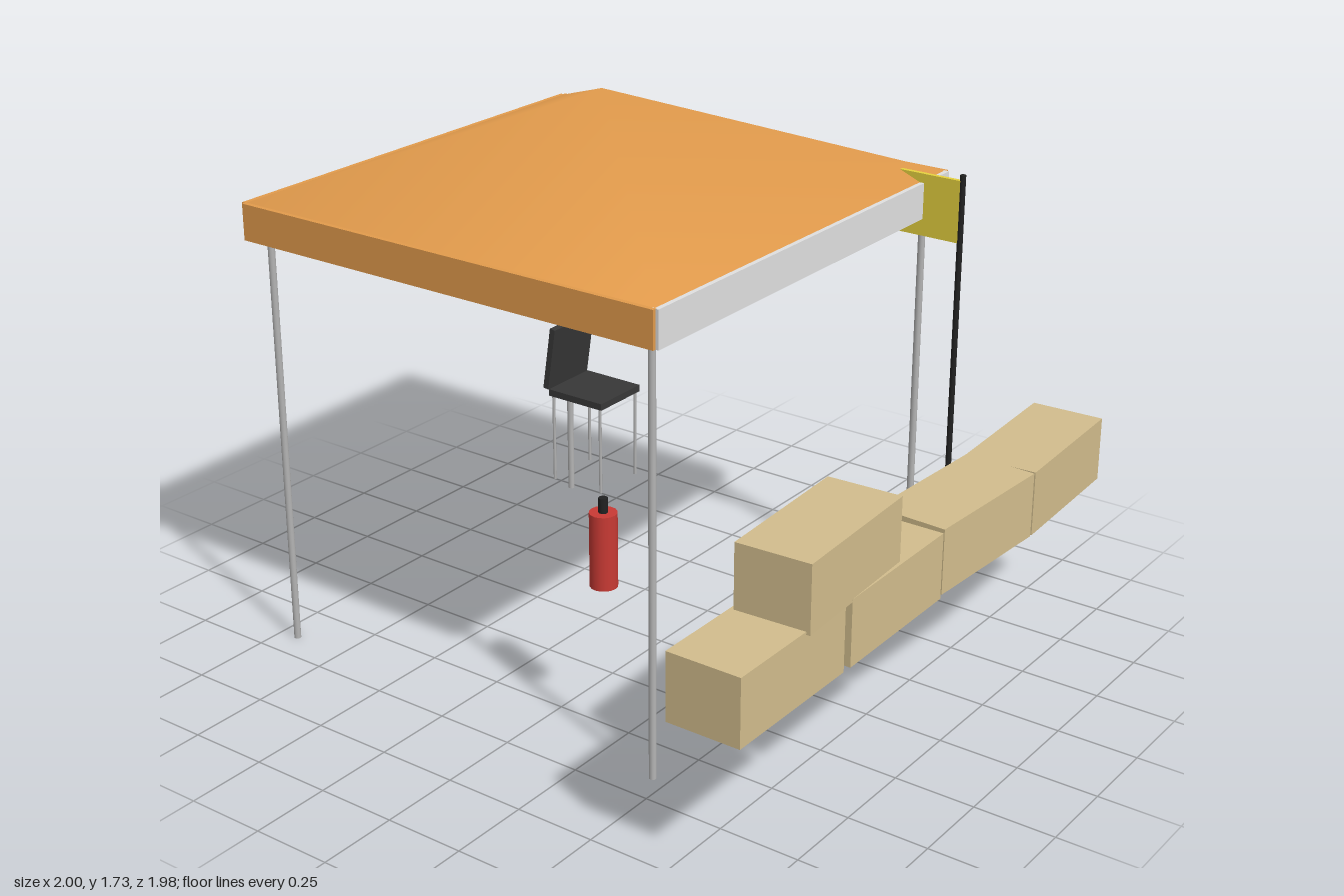
import * as THREE from 'three';

const material = (name, color, side = THREE.FrontSide) => {
  const m = new THREE.MeshStandardMaterial({ color, side });
  m.name = name;
  return m;
};

// Open pyramid with shared corners, so its normals are smooth
function pyramid(half, height) {
  const geometry = new THREE.BufferGeometry();
  const h = half;
  geometry.setAttribute('position', new THREE.Float32BufferAttribute(
    [-h, 0, h, h, 0, h, h, 0, -h, -h, 0, -h, 0, height, 0], 3));
  geometry.setIndex([0, 1, 4, 1, 2, 4, 2, 3, 4, 3, 0, 4]);
  geometry.computeVertexNormals();
  return geometry;
}

export function createModel() {
  const orange = material('orange canvas', 0xe29b4c, THREE.DoubleSide);
  const white = material('pale grey canvas', 0xe0e0e0);
  const steel = material('steel', 0xb4b4b4);
  const sand = material('sandbag tan', 0xd2bd8d);
  const charcoal = material('charcoal', 0x383838);
  const black = material('black', 0x222222);
  const red = material('red', 0xc83a34);
  const yellow = material('yellow', 0xe6d23f);

  const model = new THREE.Group();
  model.name = 'shelterCheckpoint';

  const group = (name, x = 0, y = 0, z = 0) => {
    const g = new THREE.Group();
    g.name = name;
    g.position.set(x, y, z);
    model.add(g);
    return g;
  };
  const add = (parent, name, geometry, mat, x, y, z) => {
    const mesh = new THREE.Mesh(geometry, mat);
    mesh.name = name;
    mesh.position.set(x, y, z);
    parent.add(mesh);
    return mesh;
  };
  const box = (w, h, d) => new THREE.BoxGeometry(w, h, d);
  const rod = (r, h, sides = 12) => new THREE.CylinderGeometry(r, r, h, sides);

  // Canopy: pyramid roof, four valances and four poles
  const canopy = group('canopy', 0.037, 0, -0.242);
  add(canopy, 'roof', pyramid(0.738, 0.3), orange, 0, 1.43, 0);
  add(canopy, 'frontValance', box(1.48, 0.112, 0.02), white, 0, 1.375, 0.74);
  add(canopy, 'backValance', box(1.48, 0.112, 0.02), orange, 0, 1.375, -0.74);
  for (const s of [-1, 1]) {
    add(canopy, s > 0 ? 'leftValance' : 'rightValance', box(0.02, 0.112, 1.48), orange, s * 0.74, 1.375, 0);
    for (const t of [-1, 1]) add(canopy, 'pole', rod(0.011, 1.42), steel, s * 0.691, 0.71, t * 0.693);
  }

  // Sandbag wall: x, y, z, turn
  const wall = group('sandbagWall');
  const bags = [
    [-0.758, 0.555, 0.864, 0],
    [-0.243, 0.555, 0.863, 0.01],
    [0.271, 0.555, 0.864, -0.05],
    [0.752, 0.555, 0.864, 0.05],
    [-0.469, 0.751, 0.864, 0.05],
  ];
  for (const [x, y, z, turn] of bags) {
    add(wall, 'sandbag', box(0.485, 0.205, 0.231), sand, x, y, z).rotation.y = turn;
  }

  // Chair
  const chair = group('chair', 0.22, 0, -0.427);
  add(chair, 'seat', box(0.2, 0.022, 0.21), charcoal, 0, 0.671, 0);
  add(chair, 'backrest', box(0.2, 0.21, 0.02), charcoal, 0, 0.785, -0.102).rotation.x = 0.15;
  for (const sx of [-1, 1]) {
    for (const sz of [-1, 1]) add(chair, 'chairLeg', rod(0.005, 0.29, 8), steel, sx * 0.091, 0.515, sz * 0.093);
  }

  // Fire extinguisher
  const extinguisher = group('fireExtinguisher', -0.513, 0, 0.175);
  add(extinguisher, 'tank', rod(0.041, 0.23, 16), red, 0, 0.579, 0);
  add(extinguisher, 'valve', rod(0.014, 0.045, 10), black, 0, 0.716, 0);

  // Flag on its pole
  const flag = group('flag', 0.635, 0, 0.634);
  add(flag, 'flagPole', rod(0.009, 1.245, 10), black, 0, 0.855, 0);
  add(flag, 'flagCloth', box(0.014, 0.193, 0.25), yellow, 0, 1.363, -0.13);

  return model;
}
